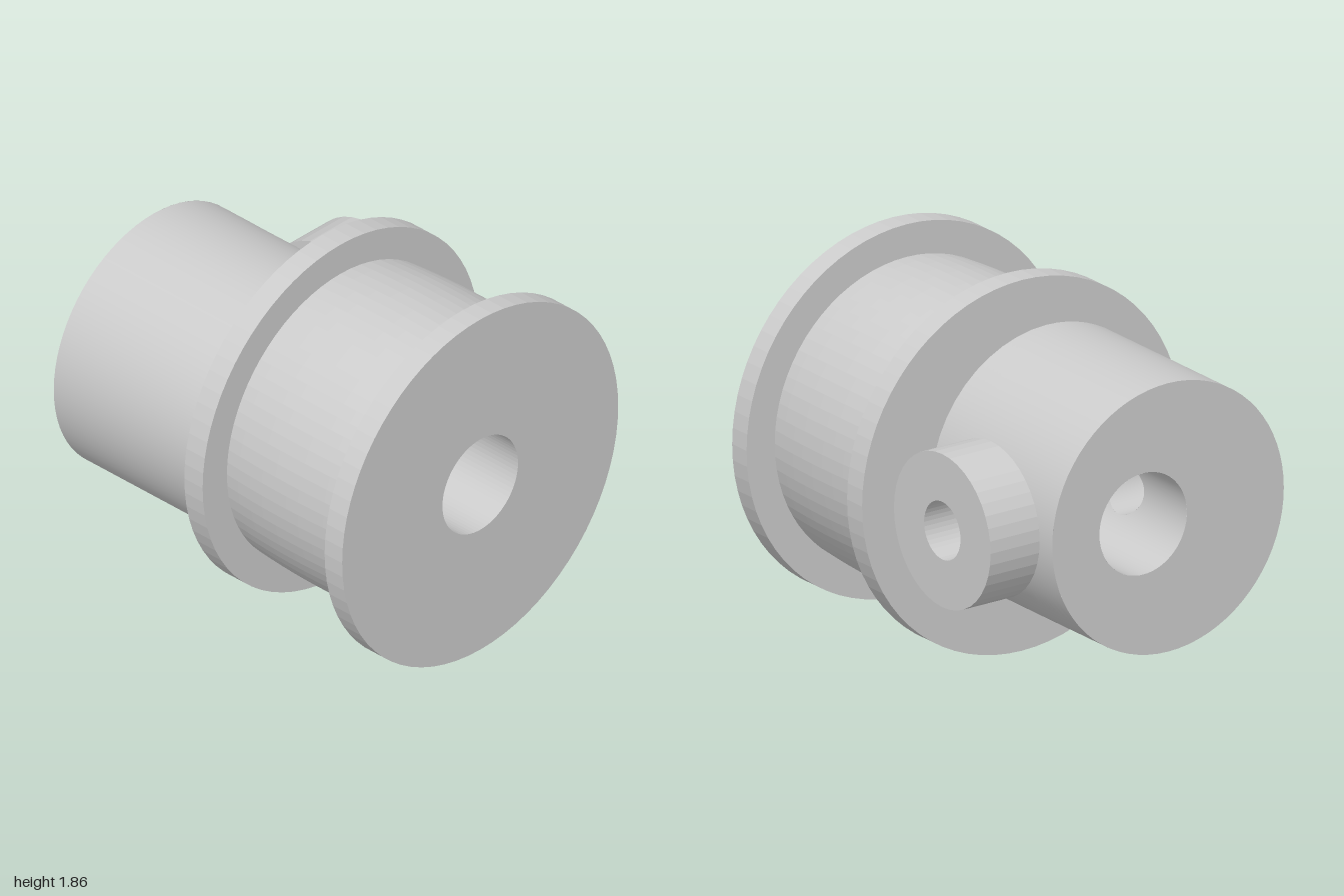
import * as THREE from 'three';

const CY = 0.932;                      // height of the main axis
const BORE = 0.255, HUB = 0.675, HUB_X = -0.145;
const HOLE = 0.145, HOLE_Z = -0.515;   // cross hole through the boss
const BACK = -1, MID = -0.035;         // hub ends

const flat = new THREE.MeshStandardMaterial({ color: 0xcccccc, flatShading: true, side: THREE.DoubleSide });
const smooth = new THREE.MeshStandardMaterial({ color: 0xcccccc, side: THREE.DoubleSide });

// Indexed grid surface from a point rule; faces follow the sign of `flip`
function gridSurface(cols, rows, rule, flip) {
  const pos = [], nor = [], idx = [];
  for (let j = 0; j <= rows; j++) {
    for (let i = 0; i <= cols; i++) {
      const { p, n } = rule(i, j / rows);
      pos.push(...p);
      nor.push(...n);
      if (i < cols && j < rows) {
        const a = j * (cols + 1) + i, b = a + 1, c = a + cols + 1, d = c + 1;
        if (flip) idx.push(a, b, c, b, d, c);
        else idx.push(a, c, b, b, c, d);
      }
    }
  }
  const g = new THREE.BufferGeometry();
  g.setAttribute('position', new THREE.Float32BufferAttribute(pos, 3));
  g.setAttribute('normal', new THREE.Float32BufferAttribute(nor, 3));
  g.setIndex(idx);
  return g;
}

// Half cylinder along z on one side (+x or -x), pierced by the round cross hole
function piercedHalf(R, cx, side, inward) {
  const n = 24, k = inward ? -1 : 1;
  return gridSurface(n * 4, 14, (i, t) => {
    const edge = Math.floor(i / n) % 4, u = (i % n) / n * 2 - 1;
    const [a, b] = [[1, u], [-u, 1], [-1, -u], [u, -1]][edge];
    const len = Math.hypot(a, b);
    const phi0 = Math.asin(HOLE * a / len / R), phi1 = a * Math.PI / 2;
    const z0 = HOLE_Z + HOLE * b / len, z1 = b > 0
      ? HOLE_Z + b * (MID - HOLE_Z) : HOLE_Z + b * (HOLE_Z - BACK);
    const phi = phi0 + (phi1 - phi0) * t, z = z0 + (z1 - z0) * t;
    const c = Math.cos(phi) * side, s = Math.sin(phi);
    return { p: [cx + R * c, R * s, z], n: [k * c, k * s, 0] };
  }, (side > 0) === inward);
}

// Wall of the cross hole between two end curves x(y)
function holeWall(xa, xb) {
  return gridSurface(48, 1, (i, t) => {
    const a = i / 48 * Math.PI * 2, y = HOLE * Math.sin(a), c = Math.cos(a);
    return {
      p: [xa(y) + (xb(y) - xa(y)) * t, y, HOLE_Z + HOLE * c],
      n: [0, -Math.sin(a), -c],
    };
  }, true);
}

function lathe(points, sides) {
  return new THREE.LatheGeometry(points.map(([r, h]) => new THREE.Vector2(r, h)), sides);
}

export function createModel() {
  const model = new THREE.Group();
  const add = (name, geometry, material = smooth) => {
    const mesh = new THREE.Mesh(geometry, material);
    mesh.name = name;
    mesh.position.y = CY;
    model.add(mesh);
    return mesh;
  };

  // Flanged pulley with a crowned belt face and its bore
  const crown = [];
  for (let i = 0; i <= 10; i++) {
    const t = i / 10;
    crown.push([0.768 + 0.017 * (1 - (2 * t - 1) ** 2), 0.085 + 0.8 * t]);
  }
  const pulley = lathe([
    [BORE, MID], [0.932, MID], [0.932, 0.085], ...crown,
    [0.932, 0.885], [0.932, 1], [BORE, 1], [BORE, MID],
  ], 72);
  add('flangedPulley', pulley.rotateX(Math.PI / 2), flat);

  // Offset hub: plain half, pierced half and back face
  const length = MID - BACK;
  const half = new THREE.CylinderGeometry(HUB, HUB, length, 36, 1, true, Math.PI, Math.PI);
  add('hubPlainSide', half.rotateX(Math.PI / 2).translate(HUB_X, 0, (MID + BACK) / 2));
  add('hubPiercedSide', piercedHalf(HUB, HUB_X, 1, false));

  const face = new THREE.Shape().absarc(-HUB_X, 0, HUB, 0, Math.PI * 2);
  face.holes.push(new THREE.Path().absarc(0, 0, BORE, 0, Math.PI * 2, true));
  add('hubBackFace', new THREE.ShapeGeometry(face, 36).rotateY(Math.PI).translate(0, 0, BACK));

  // Bore inside the hub, opened by the cross hole on both sides
  for (const side of [1, -1]) add('hubBore', piercedHalf(BORE, 0, side, true));

  // Cross hole walls and the blind pocket opposite
  const boreX = y => Math.sqrt(BORE * BORE - y * y);
  const hubX = y => HUB_X + Math.sqrt(HUB * HUB - y * y);
  add('crossHole', holeWall(boreX, hubX));
  add('crossHolePocket', holeWall(() => -0.5, y => -boreX(y)));
  add('pocketEnd', new THREE.CircleGeometry(HOLE, 48).rotateY(Math.PI / 2).translate(-0.5, 0, HOLE_Z));

  // Side boss touching the hub
  const boss = lathe([[HOLE, 0.53], [0.385, 0.53], [0.385, 0.816], [HOLE, 0.816], [HOLE, 0.53]], 40);
  add('sideBoss', boss.rotateZ(-Math.PI / 2).translate(0, 0, HOLE_Z), flat);

  return model;
}
